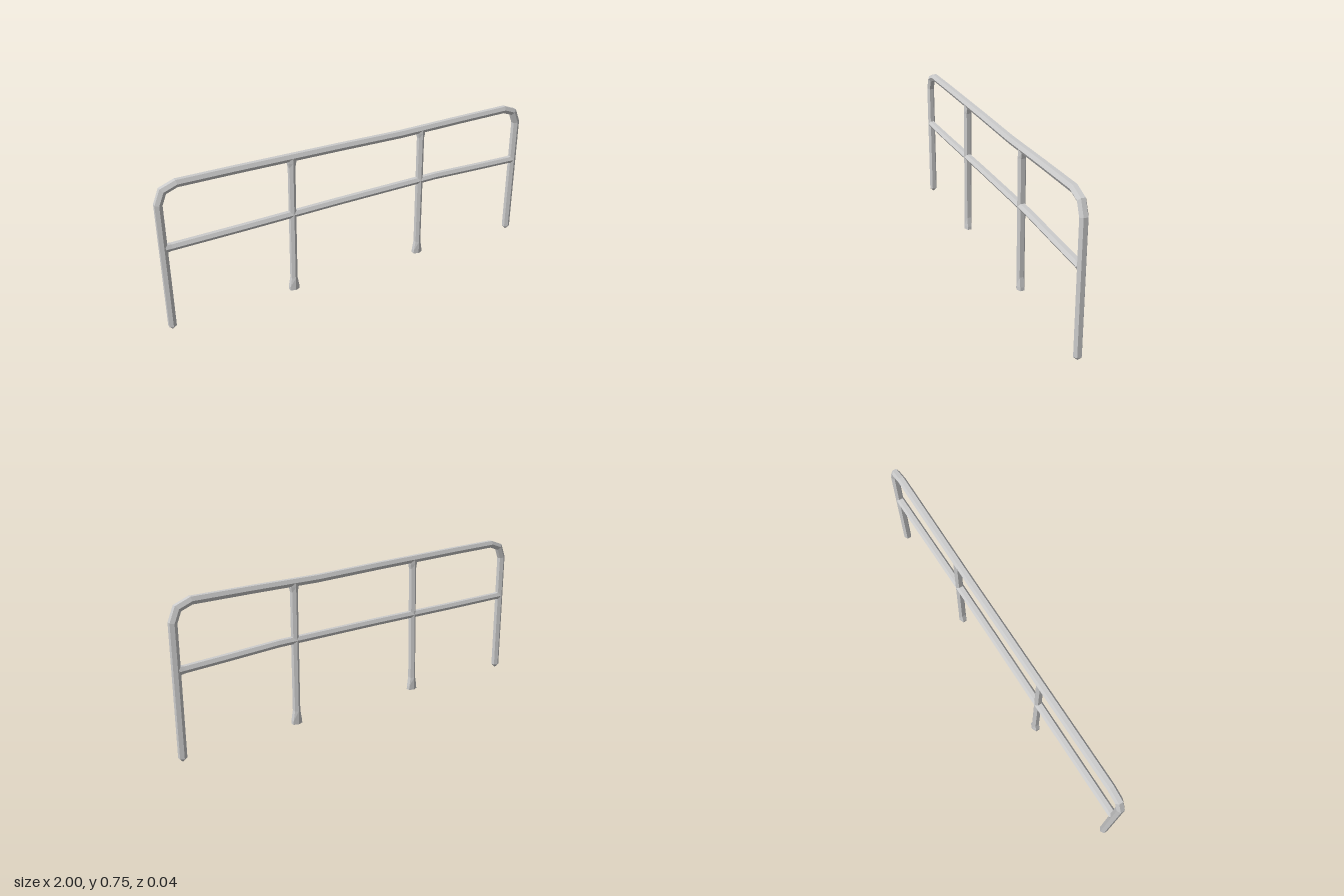
import * as THREE from 'three';

const SIDES = 6;
const RADIUS = 0.0205;

// Hexagonal bar swept along [x, y, inPlaneScale] points with mitred joints;
// tip pushes the end cap centres outward into a blunt point.
function bar(name, path, material, tip = 0) {
  const pts = path.map(([x, y]) => new THREE.Vector2(x, y));
  const pos = [], index = [];
  const last = pts.length - 1;
  const dir = i => pts[i + 1].clone().sub(pts[i]).normalize();
  pts.forEach((p, i) => {
    const a = dir(Math.max(i - 1, 0)), b = dir(Math.min(i, last - 1));
    const t = a.clone().add(b).normalize();
    const reach = RADIUS * (path[i][2] ?? 1) / t.dot(a);
    for (let j = 0; j < SIDES; j++) {
      const ang = (j + 0.5) * Math.PI * 2 / SIDES;
      const u = Math.cos(ang) * reach;
      pos.push(p.x - t.y * u, p.y + t.x * u, Math.sin(ang) * RADIUS);
    }
  });
  const start = pts[0].clone().addScaledVector(dir(0), -tip);
  const end = pts[last].clone().addScaledVector(dir(last - 1), tip);
  pos.push(start.x, start.y, 0, end.x, end.y, 0);
  const s = pts.length * SIDES;
  for (let j = 0; j < SIDES; j++) {
    const k = (j + 1) % SIDES;
    for (let i = 0; i < last; i++) {
      const a = i * SIDES, b = a + SIDES;
      index.push(a + j, a + k, b + k, a + j, b + k, b + j);
    }
    index.push(s, k, j, s + 1, last * SIDES + j, last * SIDES + k);
  }
  const geo = new THREE.BufferGeometry();
  geo.setAttribute('position', new THREE.Float32BufferAttribute(pos, 3));
  geo.setIndex(index);
  geo.computeVertexNormals();
  const mesh = new THREE.Mesh(geo, material);
  mesh.name = name;
  return mesh;
}

export function createModel() {
  const group = new THREE.Group();
  group.name = 'railing';
  const metal = new THREE.MeshStandardMaterial({ color: 0xcccccc, flatShading: true });

  // Outer hoop: end posts with pointed feet, bent corners and a slightly sagging top rail
  group.add(bar('outerFrame', [
    [-0.982, 0.02], [-0.982, 0.652], [-0.957, 0.713], [-0.893, 0.737],
    [-0.62, 0.737], [-0.1, 0.733], [0.25, 0.728], [0.6, 0.734],
    [0.893, 0.737], [0.957, 0.713], [0.982, 0.652], [0.982, 0.02],
  ], metal, 0.02));

  // Gently bowed middle rail with slightly flared ends
  group.add(bar('middleRail', [
    [-0.975, 0.433, 1.15], [-0.945, 0.433, 0.92], [-0.6, 0.437, 0.92], [-0.1, 0.446, 0.92],
    [0.47, 0.451, 0.92], [0.75, 0.441, 0.92], [0.945, 0.435, 0.92], [0.975, 0.434, 1.15],
  ], metal));

  // Inner posts: flared feet, narrow shafts, small flare under the top rail
  for (const [name, foot, head] of [['rightPost', -0.352, -0.34], ['leftPost', 0.378, 0.375]]) {
    const x = y => foot + (head - foot) * y / 0.73;
    group.add(bar(name, [
      [x(0.022), 0.022, 1.4], [x(0.04), 0.04, 1.35], [x(0.09), 0.09, 0.85],
      [x(0.44), 0.44, 0.85], [x(0.685), 0.685, 0.85], [x(0.71), 0.71, 1.15], [x(0.73), 0.73, 1.15],
    ], metal));
  }
  return group;
}
